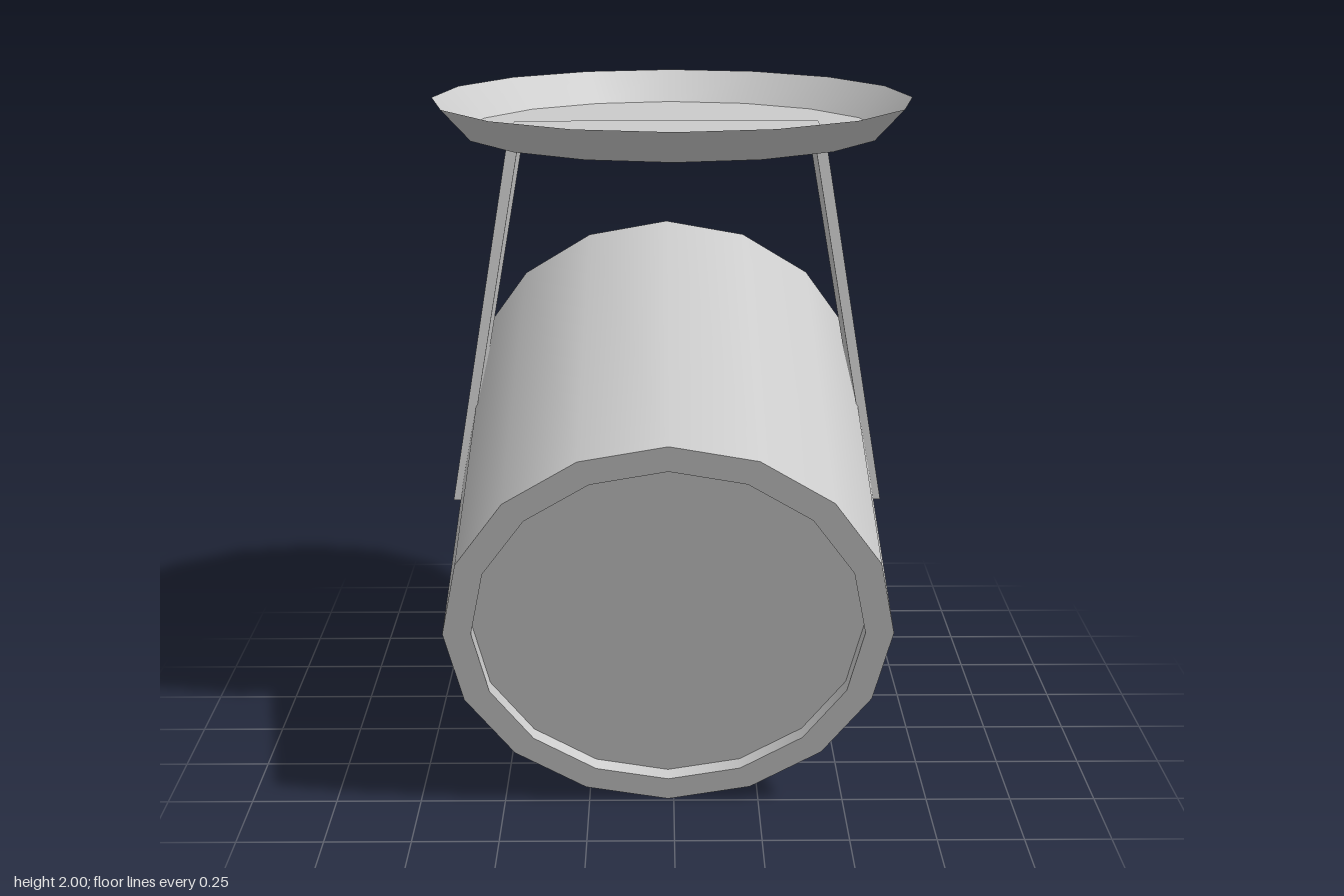
import * as THREE from 'three';
import { mergeGeometries } from 'three/addons/utils/BufferGeometryUtils.js';

const SIDES = 16;
const material = new THREE.MeshStandardMaterial({ color: 0xcccccc, side: THREE.DoubleSide });

// Lathe each profile segment separately: round sides stay smooth, rims stay sharp
function sharpLathe(profile) {
  const points = profile.map(([r, y]) => new THREE.Vector2(r, y));
  return mergeGeometries(
    points.slice(1).map((p, i) => new THREE.LatheGeometry([points[i], p], SIDES))
  );
}

function addMesh(parent, name, geometry) {
  const mesh = new THREE.Mesh(geometry, material);
  mesh.name = name;
  parent.add(mesh);
  return mesh;
}

// U-shaped bracket with splayed legs that narrow towards their ends
function bracketGeometry() {
  const topY = 1.91, innerY = 1.865, bottomY = 0.77;
  const outline = [
    [0.663, bottomY], [0.466, topY], [-0.466, topY], [-0.663, bottomY],
    [-0.635, bottomY], [-0.44, innerY], [0.44, innerY], [0.635, bottomY],
  ];
  const shape = new THREE.Shape(outline.map(([x, y]) => new THREE.Vector2(x, y)));
  const geometry = new THREE.ExtrudeGeometry(shape, { depth: 2, bevelEnabled: false });
  const position = geometry.attributes.position;
  for (let i = 0; i < position.count; i++) {
    const t = (position.getY(i) - bottomY) / (topY - bottomY);
    const halfWidth = THREE.MathUtils.lerp(0.118, 0.145, t);
    position.setZ(i, (position.getZ(i) - 1) * halfWidth);
  }
  geometry.computeVertexNormals();
  return geometry;
}

export function createModel() {
  const model = new THREE.Group();
  model.name = 'spotlight';

  // Open ceiling dish
  const dish = addMesh(model, 'ceilingDish', sharpLathe([[0, 1.905], [0.632, 1.905], [0.72, 2]]));
  dish.position.z = -0.14;

  // Bracket hanging from the dish
  const bracket = addMesh(model, 'bracket', bracketGeometry());
  bracket.position.set(-0.017, 0, -0.139);

  // Lamp drum, tilted downwards at the front
  const lamp = new THREE.Group();
  lamp.name = 'lamp';
  lamp.position.set(-0.017, 0.795, 0.07);
  lamp.rotation.x = Math.PI / 2 + 0.297;
  model.add(lamp);

  const r = 0.633, h = 0.633, lensR = 0.553, lensY = h - 0.04;
  addMesh(lamp, 'drum', sharpLathe([[0, -h], [r, -h], [r, h], [lensR, h], [lensR, lensY]]));
  addMesh(lamp, 'lens', sharpLathe([[lensR, lensY], [0, lensY]]));

  return model;
}
